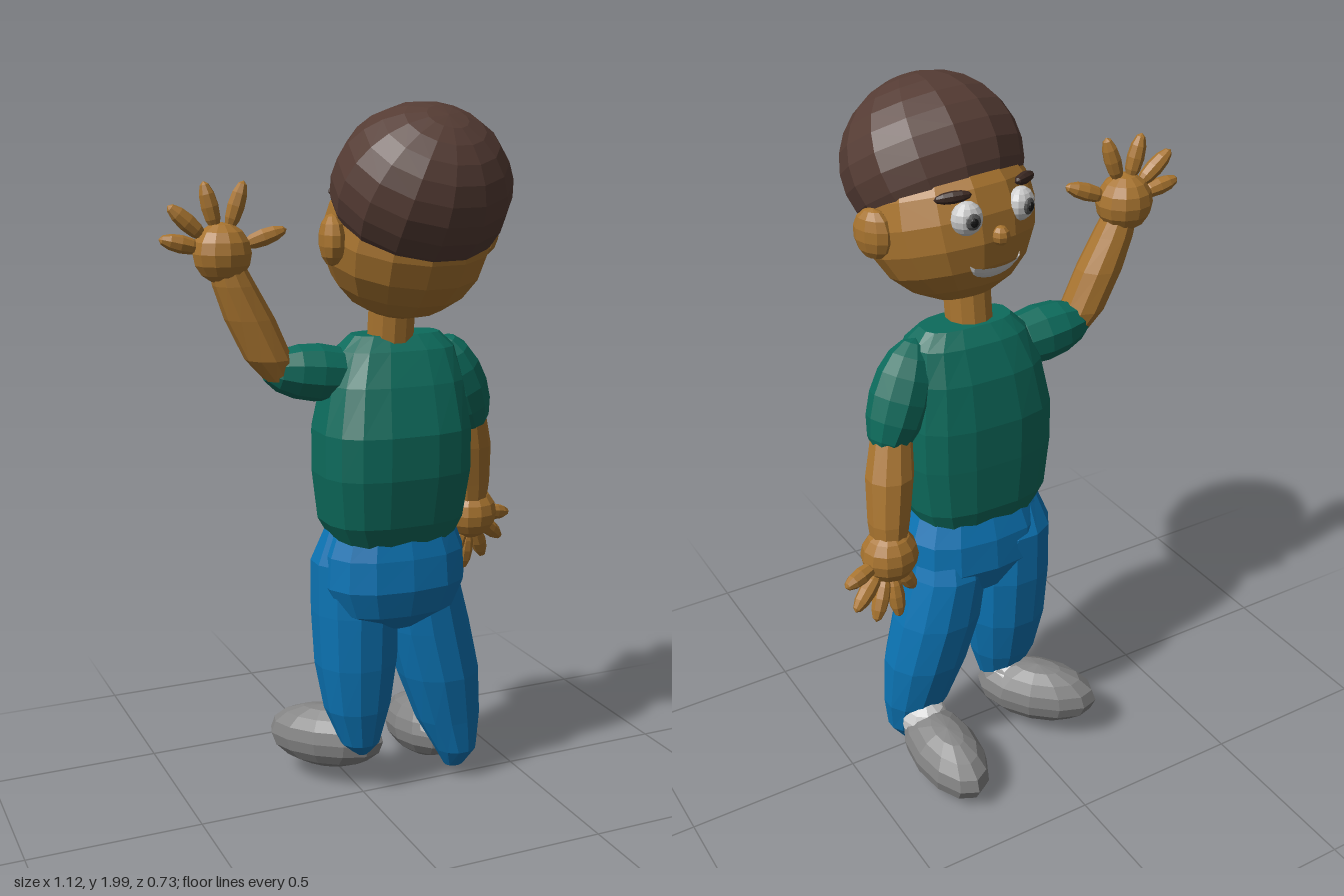
import * as THREE from 'three';

const material = (color, side = THREE.FrontSide) =>
  new THREE.MeshStandardMaterial({ color, flatShading: true, side });
const SKIN = material(0xa8742f), HAIR = material(0x553c34, THREE.DoubleSide), SHIRT = material(0x0d6b5c);
const JEANS = material(0x0c74b4), SHOE = material(0x858585), WHITE = material(0xe4e4e4, THREE.DoubleSide);
const IRIS = material(0x555555), PUPIL = material(0x151515), BROW = material(0x3a2822);

// Faceted ellipsoid
function blob(name, mat, pos, radii, rot = [0, 0, 0], segs = 12, rings = 8) {
  const mesh = new THREE.Mesh(new THREE.SphereGeometry(1, segs, rings).scale(...radii), mat);
  mesh.name = name;
  mesh.position.set(...pos);
  mesh.rotation.set(...rot);
  return mesh;
}

// Ellipsoid stretched from one point to another
function spindle(name, mat, from, to, rx, rz = rx, segs = 10, rings = 8) {
  const a = new THREE.Vector3(...from), b = new THREE.Vector3(...to);
  const mid = a.clone().add(b).multiplyScalar(0.5);
  const mesh = blob(name, mat, mid.toArray(), [rx, a.distanceTo(b) / 2, rz], [0, 0, 0], segs, rings);
  mesh.quaternion.setFromUnitVectors(new THREE.Vector3(0, 1, 0), b.sub(a).normalize());
  return mesh;
}

// Skin over rounded sections [x, y, z, rx, rz], listed from bottom to top
function loft(name, mat, sections, power = 1, n = 12) {
  const pos = [], index = [];
  const bend = v => Math.sign(v) * Math.abs(v) ** power;
  for (const [x, y, z, rx, rz] of sections) {
    for (let i = 0; i < n; i++) {
      const t = (i + 0.5) / n * Math.PI * 2;
      pos.push(x + rx * bend(Math.cos(t)), y, z - rz * bend(Math.sin(t)));
    }
  }
  const last = sections.length - 1, bottom = pos.length / 3, top = bottom + 1;
  pos.push(...sections[0].slice(0, 3), ...sections[last].slice(0, 3));
  for (let i = 0; i < n; i++) {
    const j = (i + 1) % n;
    for (let s = 0; s < last; s++) {
      const a = s * n + i, b = s * n + j;
      index.push(a, b, b + n, a, b + n, a + n);
    }
    index.push(bottom, j, i, top, last * n + i, last * n + j);
  }
  const geo = new THREE.BufferGeometry();
  geo.setAttribute('position', new THREE.Float32BufferAttribute(pos, 3));
  geo.setIndex(index);
  geo.computeVertexNormals();
  const mesh = new THREE.Mesh(geo, mat);
  mesh.name = name;
  return mesh;
}

// Palm with five spread fingers
function hand(name, center, tips) {
  const group = new THREE.Group();
  group.name = name;
  group.add(blob('palm', SKIN, center, [0.08, 0.08, 0.075], [0, 0, 0], 12, 8));
  const c = new THREE.Vector3(...center);
  for (const tip of tips) {
    const t = new THREE.Vector3(...tip);
    const root = c.clone().lerp(t, 0.3);
    group.add(spindle('finger', SKIN, root.toArray(), tip, 0.024, 0.024, 8, 6));
  }
  return group;
}

function makeHead() {
  const head = new THREE.Group();
  head.name = 'head';
  head.position.set(0.095, 1.65, 0.075);
  head.rotation.y = 0.13;
  head.add(blob('face', SKIN, [0, 0, 0], [0.235, 0.225, 0.215], [0.3, 0, 0], 14, 10));

  // Hair cap, tilted to the back
  const cap = new THREE.SphereGeometry(1, 14, 9, 0, Math.PI * 2, 0, 2.12).scale(0.247, 0.225, 0.225);
  const hair = new THREE.Mesh(cap, HAIR);
  hair.name = 'hair';
  hair.position.set(0, 0.125, 0.07);
  hair.rotation.x = 0.56;
  head.add(hair);

  for (const s of [-1, 1]) {
    head.add(blob('ear', SKIN, [s * 0.235, 0, 0.005], [0.035, 0.068, 0.06], [0, s * 0.3, 0], 10, 7));
    head.add(blob('eye', WHITE, [s * 0.085, 0.062, -0.186], [0.042, 0.044, 0.034], [0, s * -0.3, 0], 12, 8));
    head.add(blob('iris', IRIS, [s * 0.088, 0.062, -0.215], [0.021, 0.022, 0.009], [0, s * -0.3, 0], 10, 6));
    head.add(blob('pupil', PUPIL, [s * 0.089, 0.062, -0.222], [0.011, 0.012, 0.006], [0, s * -0.3, 0], 8, 6));
    head.add(spindle('eyebrow', BROW, [s * 0.07, 0.122, -0.188], [s * 0.155, 0.112, -0.145], 0.016, 0.018, 8, 6));
  }
  head.add(blob('nose', SKIN, [0, 0.005, -0.212], [0.024, 0.026, 0.026], [0, 0, 0], 8, 6));

  // Grin: flat on top, round below
  const grin = new THREE.SphereGeometry(1, 14, 6, 0, Math.PI * 2, Math.PI / 2, Math.PI / 2).scale(0.08, 0.055, 0.03);
  const mouth = new THREE.Mesh(grin, WHITE);
  mouth.name = 'mouth';
  mouth.position.set(0, -0.065, -0.188);
  mouth.rotation.x = -0.4;
  head.add(mouth);
  return head;
}

export function createModel() {
  const model = new THREE.Group();
  model.name = 'wavingBoy';

  model.add(makeHead());
  model.add(loft('neck', SKIN, [[0.075, 1.33, 0.01, 0.065, 0.065], [0.075, 1.5, 0.03, 0.065, 0.065]]));

  model.add(loft('shirt', SHIRT, [
    [0.085, 0.79, 0.0, 0.17, 0.125],
    [0.08, 0.86, 0.005, 0.205, 0.15],
    [0.078, 1.0, 0.015, 0.222, 0.165],
    [0.078, 1.12, 0.015, 0.222, 0.165],
    [0.085, 1.25, 0.005, 0.2, 0.135],
    [0.095, 1.34, 0.0, 0.17, 0.095],
    [0.095, 1.38, 0.0, 0.13, 0.06],
  ], 0.7, 16));

  model.add(loft('hips', JEANS, [
    [0.095, 0.53, 0.0, 0.06, 0.06],
    [0.09, 0.59, 0.0, 0.18, 0.13],
    [0.09, 0.67, -0.005, 0.215, 0.158],
    [0.09, 0.76, -0.005, 0.21, 0.15],
    [0.088, 0.84, 0.0, 0.18, 0.125],
  ], 0.8, 14));

  // Legs taper to the ankles
  model.add(loft('rightLeg', JEANS, [
    [0.0, 0.13, -0.01, 0.02, 0.02],
    [-0.005, 0.17, -0.01, 0.06, 0.055],
    [-0.01, 0.28, -0.02, 0.1, 0.09],
    [-0.01, 0.42, -0.03, 0.123, 0.115],
    [-0.01, 0.58, -0.035, 0.13, 0.125],
    [-0.015, 0.73, -0.035, 0.125, 0.12],
    [-0.03, 0.84, -0.02, 0.07, 0.07],
  ]));
  model.add(loft('leftLeg', JEANS, [
    [0.3, 0.045, 0.0, 0.03, 0.025],
    [0.305, 0.1, 0.0, 0.065, 0.06],
    [0.285, 0.2, -0.015, 0.1, 0.085],
    [0.255, 0.35, -0.025, 0.125, 0.115],
    [0.22, 0.5, -0.035, 0.13, 0.125],
    [0.19, 0.65, -0.035, 0.12, 0.125],
    [0.18, 0.82, -0.02, 0.08, 0.08],
  ]));

  // Shoes with pale socks at the ankles
  model.add(blob('leftShoe', SHOE, [0.283, 0.103, -0.185], [0.097, 0.095, 0.182], [-0.12, 0.05, 0], 12, 8));
  model.add(blob('rightShoe', SHOE, [-0.065, 0.15, -0.13], [0.092, 0.095, 0.185], [-0.05, 0.76, 0], 12, 8));
  model.add(blob('leftSock', WHITE, [0.29, 0.15, -0.07], [0.07, 0.07, 0.075], [0, 0, 0], 10, 7));
  model.add(blob('rightSock', WHITE, [-0.01, 0.17, -0.065], [0.07, 0.07, 0.075], [0, 0, 0], 10, 7));

  // Lowered left arm
  model.add(spindle('leftSleeve', SHIRT, [0.245, 1.36, 0.0], [0.375, 1.06, -0.05], 0.083, 0.082));
  model.add(loft('leftForearm', SKIN, [
    [0.4, 0.8, -0.11, 0.045, 0.045],
    [0.39, 0.9, -0.095, 0.058, 0.058],
    [0.37, 1.02, -0.07, 0.066, 0.066],
    [0.345, 1.13, -0.04, 0.055, 0.055],
  ], 1, 10));
  model.add(hand('leftHand', [0.4, 0.8, -0.11], [
    [0.555, 0.77, -0.155], [0.535, 0.69, -0.165], [0.475, 0.635, -0.165],
    [0.395, 0.61, -0.145], [0.325, 0.655, -0.1],
  ]));

  // Raised right arm
  model.add(spindle('rightSleeve', SHIRT, [0.02, 1.265, 0.0], [-0.295, 1.3, -0.01], 0.08, 0.08));
  model.add(loft('rightForearm', SKIN, [
    [-0.24, 1.27, -0.005, 0.045, 0.045],
    [-0.275, 1.33, -0.005, 0.065, 0.062],
    [-0.325, 1.44, -0.01, 0.068, 0.062],
    [-0.365, 1.53, -0.012, 0.058, 0.055],
    [-0.39, 1.6, -0.015, 0.045, 0.045],
  ], 1, 10));
  model.add(hand('rightHand', [-0.395, 1.615, -0.015], [
    [-0.56, 1.655, -0.03], [-0.535, 1.74, -0.025], [-0.44, 1.8, -0.02],
    [-0.335, 1.8, -0.005], [-0.23, 1.675, 0.025],
  ]));
  return model;
}
